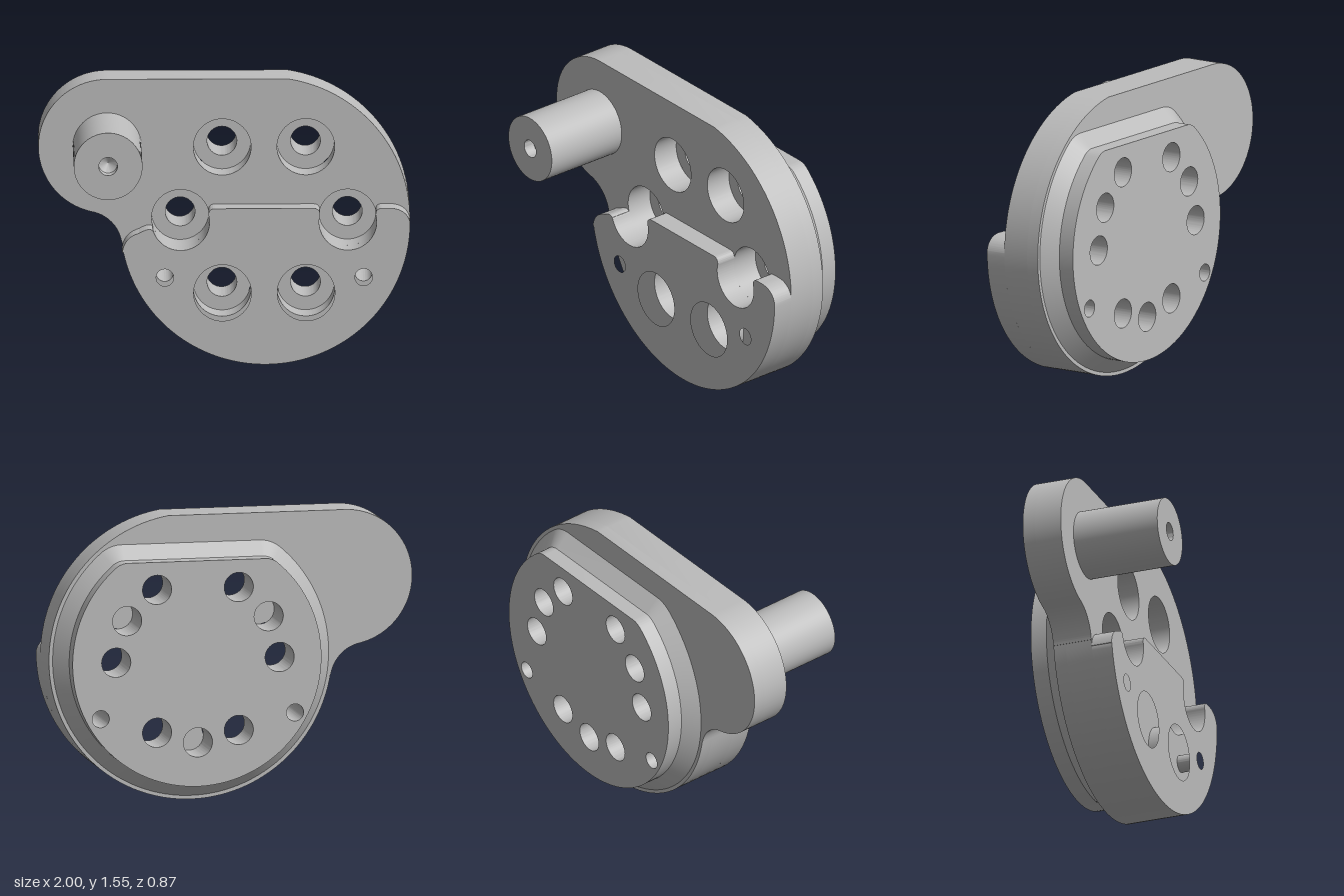
import * as THREE from 'three';
import { toCreasedNormals } from 'three/addons/utils/BufferGeometryUtils.js';

const CX = 0.22, CY = 0.78, R = 0.78;          // main disc
const HX = 0.215, HY = 0.785, HR = 0.45;       // bolt circle
const rad = (d) => d * Math.PI / 180;

const steel = new THREE.MeshStandardMaterial({ color: 0xbcbcbc });
steel.name = 'steel grey';

// Points on the bolt circle at the given angles
const onBoltCircle = (angles) => angles.map((a) => [HX + HR * Math.cos(rad(a)), HY + HR * Math.sin(rad(a))]);
const bolts = onBoltCircle([0, 60, 120, 180, 240, 300]);
const blindHoles = onBoltCircle([30, 150, 270]);
const dowels = [[-0.32, 0.48], [0.75, 0.48]];

function drill(shape, centres, r) {
  for (const [x, y] of centres) {
    const hole = new THREE.Path();
    hole.absarc(x, y, r, 0, Math.PI * 2, true);
    shape.holes.push(hole);
  }
  return shape;
}

// Straight extrusion of a shape between two z planes
function slab(name, shape, z0, z1) {
  let geo = new THREE.ExtrudeGeometry(shape, { depth: z1 - z0, bevelEnabled: false, curveSegments: 48 });
  geo.translate(0, 0, z0);
  const mesh = new THREE.Mesh(toCreasedNormals(geo, 0.5), steel);
  mesh.name = name;
  return mesh;
}

// Disc blended into a rounded arm
function plateShape() {
  const s = new THREE.Shape();
  const end = Math.asin(0.77 / R);
  s.moveTo(-0.63, 1.55);
  s.absarc(-0.63, 1.18, 0.37, rad(90), rad(257.8), false);
  s.absarc(-0.75, 0.623, 0.2, rad(77.8), rad(9.2), true);
  s.absarc(CX, CY, R, rad(189.2), Math.PI * 2 + end, false);
  s.closePath();
  return s;
}

// Raised lower pad, its upper edge broken by two bolt pockets
function padShape() {
  const s = new THREE.Shape();
  const [right, left] = [bolts[3], bolts[0]];
  s.moveTo(-0.55, 0.62);
  s.bezierCurveTo(-0.54, 0.68, -0.51, 0.71, -0.46, 0.725);
  s.quadraticCurveTo(-0.40, 0.76, -0.385, 0.737);
  s.absarc(right[0], right[1], 0.155, rad(198), rad(375), false);
  s.quadraticCurveTo(-0.085, 0.86, -0.05, 0.86);
  s.lineTo(0.48, 0.86);
  s.quadraticCurveTo(0.515, 0.86, 0.515, 0.825);
  s.absarc(left[0], left[1], 0.155, rad(165), rad(375), false);
  s.quadraticCurveTo(0.815, 0.86, 0.85, 0.86);
  s.lineTo(0.89, 0.86);
  s.bezierCurveTo(0.95, 0.86, 0.99, 0.83, 1.0, 0.78);
  s.absarc(CX, CY, R, 0, rad(-168.2), true);
  return s;
}

// Disc with a flat top and rounded corners, grown outward by an offset
function bossOutline(offset) {
  const r = 0.685 + offset, top = 1.325 + offset, f = 0.1 + offset;
  const fy = top - f, dy = fy - CY, dx = Math.sqrt((r - f) ** 2 - dy ** 2);
  const theta = Math.atan2(dy, dx), pts = [];
  const arc = (x, y, radius, a0, a1, n) => {
    for (let i = 0; i < n; i++) {
      const a = a0 + (a1 - a0) * i / (n - 1);
      pts.push(new THREE.Vector2(x + radius * Math.cos(a), y + radius * Math.sin(a)));
    }
  };
  arc(CX + dx, fy, f, theta, Math.PI / 2, 12);
  arc(CX - dx, fy, f, Math.PI / 2, Math.PI - theta, 12);
  arc(CX, CY, r, Math.PI - theta + 0.04, Math.PI * 2 + theta - 0.04, 90);
  return pts;
}

// Sloping skirt joining the boss to the plate
function bossChamfer() {
  const inner = bossOutline(0), outer = bossOutline(0.075), n = inner.length;
  const pos = [], index = [];
  for (let i = 0; i < n; i++) {
    pos.push(outer[i].x, outer[i].y, -0.27, inner[i].x, inner[i].y, -0.345);
    const a = 2 * i, b = 2 * ((i + 1) % n);
    index.push(a, a + 1, b, b, a + 1, b + 1);
  }
  const geo = new THREE.BufferGeometry();
  geo.setAttribute('position', new THREE.Float32BufferAttribute(pos, 3));
  geo.setIndex(index);
  geo.computeVertexNormals();
  const mesh = new THREE.Mesh(geo, steel);
  mesh.name = 'bossChamfer';
  return mesh;
}

// Round pin with a drilled centre
function crankPin() {
  const profile = [[0.185, 0], [0.185, 0.485], [0.05, 0.485], [0.05, 0.42], [0, 0.39]];
  const geo = new THREE.LatheGeometry(profile.map(([x, y]) => new THREE.Vector2(x, y)), 64);
  geo.rotateX(Math.PI / 2);
  const mesh = new THREE.Mesh(toCreasedNormals(geo, 0.5), steel);
  mesh.name = 'crankPin';
  mesh.position.set(-0.63, 1.18, -0.05);
  return mesh;
}

export function createModel() {
  const group = new THREE.Group();
  group.name = 'crankPlate';

  // Front layer holds the wide bolt pockets, rear layer the narrow holes
  const front = drill(drill(plateShape(), bolts, 0.155), dowels, 0.047);
  const rear = drill(drill(plateShape(), [...bolts, ...blindHoles], 0.08), dowels, 0.047);
  group.add(slab('plateFront', front, -0.2, -0.05));
  group.add(slab('plateRear', rear, -0.27, -0.2));

  const pad = drill(drill(padShape(), [bolts[4], bolts[5]], 0.155), dowels, 0.047);
  group.add(slab('raisedPad', pad, -0.05, 0.065));

  const boss = drill(drill(new THREE.Shape(bossOutline(0)), [...bolts, ...blindHoles], 0.08), dowels, 0.047);
  group.add(slab('rearBoss', boss, -0.435, -0.27));
  group.add(bossChamfer());
  group.add(crankPin());
  return group;
}
